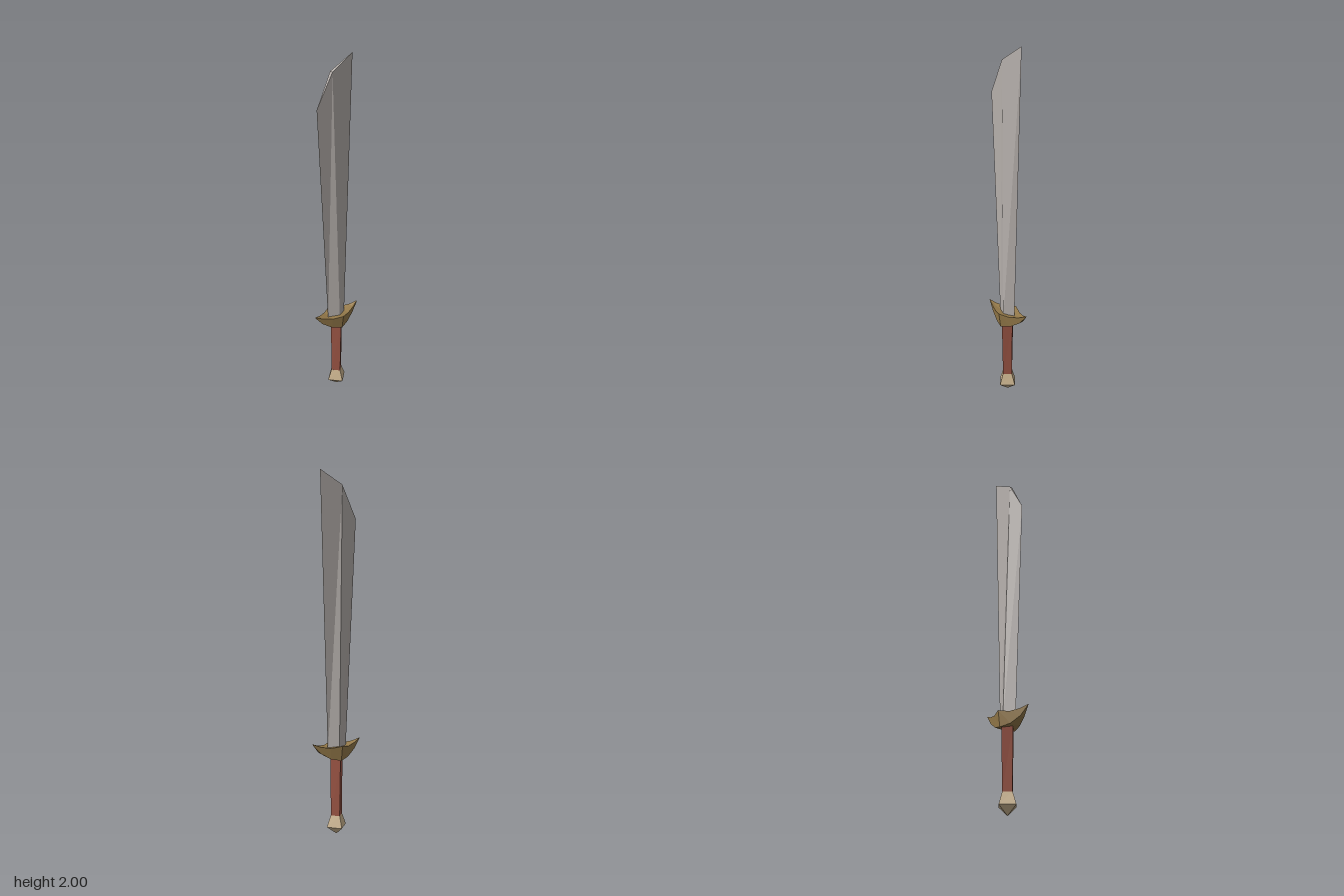
import * as THREE from 'three';

const mat = (name, color) => {
  const m = new THREE.MeshStandardMaterial({ color, flatShading: true });
  m.name = name;
  return m;
};

// Skins a list of rings, each counter-clockwise when seen from the far end, and caps both ends
function loft(rings) {
  const pos = [];
  const tri = (a, b, c) => {
    const [A, B, C] = [a, b, c].map((p) => new THREE.Vector3(...p));
    if (B.clone().sub(A).cross(C.clone().sub(A)).length() > 1e-9) pos.push(...a, ...b, ...c);
  };
  const n = rings[0].length;
  for (let r = 0; r < rings.length - 1; r++) {
    const lo = rings[r], up = rings[r + 1];
    for (let i = 0; i < n; i++) {
      const j = (i + 1) % n;
      tri(lo[i], lo[j], up[j]);
      tri(lo[i], up[j], up[i]);
    }
  }
  const first = rings[0], last = rings[rings.length - 1];
  for (let i = 1; i < n - 1; i++) {
    tri(first[0], first[i + 1], first[i]);
    tri(last[0], last[i], last[i + 1]);
  }
  const g = new THREE.BufferGeometry();
  g.setAttribute('position', new THREE.Float32BufferAttribute(pos, 3));
  g.computeVertexNormals();
  return g;
}

// Four-cornered ring with its corners on the axes
const diamond = (y, rx, rz) => [[0, y, rz], [rx, y, 0], [0, y, -rz], [-rx, y, 0]];

export function createModel() {
  const group = new THREE.Group();
  const add = (name, rings, material) => {
    const mesh = new THREE.Mesh(loft(rings), material);
    mesh.name = name;
    group.add(mesh);
  };

  // Pommel: faceted knob pointing down
  add('pommel', [diamond(0.005, 0, 0), diamond(0.053, 0.061, 0.061), diamond(0.118, 0.036, 0.037)],
    mat('pale brass', 0xcbb48f));

  // Grip: diamond shaft, slightly wider toward the guard
  add('grip', [diamond(0.115, 0.035, 0.037), diamond(0.46, 0.039, 0.045)],
    mat('red leather', 0x9c5545));

  // Guard: crescent with upswept tips; columns are x, top y, mid-top y, bottom y, top z, bottom z
  const half = [
    [0, 0.527, 0.51, 0.442, 0.068, 0.055],
    [0.055, 0.516, 0.51, 0.454, 0.041, 0.034],
    [0.107, 0.525, 0.522, 0.488, 0.018, 0.014],
    [0.147, 0.541, 0.541, 0.537, 0.001, 0.001],
  ];
  const mirrored = half.slice(1).reverse().map(([x, ...rest]) => [-x, ...rest]);
  add('guard', [...mirrored, ...half].map(([x, top, mid, bottom, zt, zb]) => [
    [x, bottom, -zb], [x, top, -zt], [x, mid, 0], [x, top, zt], [x, bottom, zb],
  ]), mat('bronze', 0x957a4a));

  // Blade: flaring diamond section with a slanted, angular end
  add('blade', [
    [[0, 0.48, 0.034], [0.054, 0.48, 0], [0, 0.48, -0.034], [-0.058, 0.48, 0]],
    [[-0.03, 1.925, 0.01], [0.097, 2, 0], [-0.03, 1.925, -0.01], [-0.119, 1.75, 0]],
  ], mat('steel', 0xb5afab));

  return group;
}
